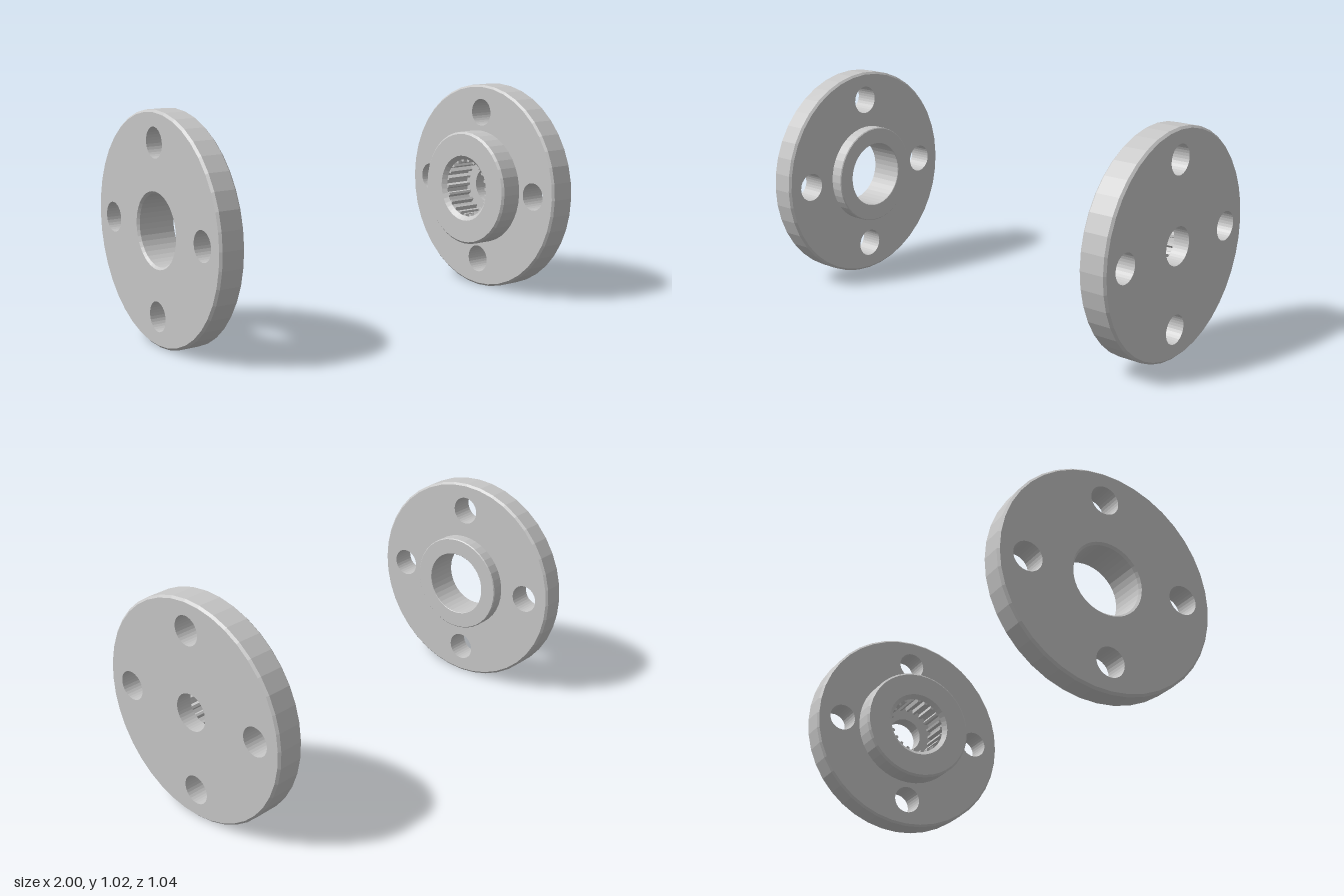
import * as THREE from 'three';

const SEG = 40, BOLT_R = 0.067, BOLT_PITCH = 0.375;
const RIM_R = 0.512, FACE_R = 0.502;

// points of a circle, matching the lathe divisions
function circle(r, n = SEG, cx = 0, cy = 0) {
  return Array.from({ length: n }, (_, i) => {
    const a = (i / n) * Math.PI * 2;
    return new THREE.Vector2(cx + r * Math.cos(a), cy + r * Math.sin(a));
  });
}

const boltCentres = [0, 1, 2, 3].map(i => [
  BOLT_PITCH * Math.round(Math.cos(i * Math.PI / 2)),
  BOLT_PITCH * Math.round(Math.sin(i * Math.PI / 2)),
]);

export function createModel() {
  const metal = new THREE.MeshStandardMaterial({ color: 0xc7c7c7 });
  metal.name = 'light grey metal';

  const add = (group, name, geometry) => {
    const mesh = new THREE.Mesh(geometry, metal);
    mesh.name = name;
    group.add(mesh);
  };

  // faceted surface turned about the z axis from [radius, z] points
  function turned(points, n = SEG) {
    const g = new THREE.LatheGeometry(points.map(p => new THREE.Vector2(...p)), n)
      .rotateX(Math.PI / 2).toNonIndexed();
    g.computeVertexNormals();
    return g;
  }

  // flat ring with four bolt holes, facing +z or -z
  function face(inner, z, dir) {
    const shape = new THREE.Shape(circle(FACE_R));
    shape.holes.push(new THREE.Path(circle(inner)));
    for (const [x, y] of boltCentres) shape.holes.push(new THREE.Path(circle(BOLT_R, 32, x, y)));
    const g = new THREE.ShapeGeometry(shape);
    if (dir < 0) g.rotateY(Math.PI);
    return g.translate(0, 0, z);
  }

  // chamfered disc with bolt holes; inner radii are for the two faces
  function disc(group, z0, z1, inner0, inner1) {
    const c = RIM_R - FACE_R;
    add(group, 'rim', turned([[FACE_R, z0], [RIM_R, z0 + c], [RIM_R, z1 - c], [FACE_R, z1]]));
    add(group, 'rightFace', face(inner0, z0, -1));
    add(group, 'leftFace', face(inner1, z1, 1));
    for (const [x, y] of boltCentres) {
      add(group, 'boltHole', turned([[BOLT_R, z1], [BOLT_R, z0]], 32).translate(x, y, 0));
    }
  }

  // plain flange with a short hub and a wide bore
  const plain = new THREE.Group();
  plain.name = 'plainFlange';
  disc(plain, -0.995, -0.879, 0.168, 0.238);
  add(plain, 'hubAndBore', turned([
    [0.238, -0.879], [0.238, -0.822], [0.234, -0.818], [0.16, -0.818],
    [0.158, -0.82], [0.158, -0.985], [0.168, -0.995],
  ]));

  // flange with a longer hub and a splined socket
  const splined = new THREE.Group();
  splined.name = 'splinedFlange';
  disc(splined, 0.863, 0.995, 0.283, 0.086);
  add(splined, 'hub', turned([
    [0.144, 0.774], [0.164, 0.754], [0.273, 0.754], [0.283, 0.764], [0.283, 0.863],
  ]));
  add(splined, 'centreBore', turned([[0.086, 0.995], [0.086, 0.92], [0.165, 0.92]]));

  // toothed lining of the socket
  const TEETH = 22, teeth = [];
  for (let i = 0; i < TEETH; i++) {
    [[0, 0.153], [0.4, 0.153], [0.55, 0.133], [0.85, 0.133]].forEach(([t, r]) => {
      const a = ((i + t) / TEETH) * Math.PI * 2;
      teeth.push(new THREE.Vector2(r * Math.cos(a), r * Math.sin(a)));
    });
  }
  const lining = new THREE.Shape(circle(0.165));
  lining.holes.push(new THREE.Path(teeth));
  add(splined, 'splineTeeth',
    new THREE.ExtrudeGeometry(lining, { depth: 0.146, bevelEnabled: false }).translate(0, 0, 0.774));

  // lay the common axis along x, with a slight yaw and roll
  const flanges = new THREE.Group();
  flanges.name = 'flangePair';
  flanges.add(plain, splined);
  flanges.rotation.set(0, Math.PI / 2 - 0.009, 0.008);
  flanges.position.y = 0.515;

  const model = new THREE.Group();
  model.name = 'couplingFlanges';
  model.add(flanges);
  return model;
}
